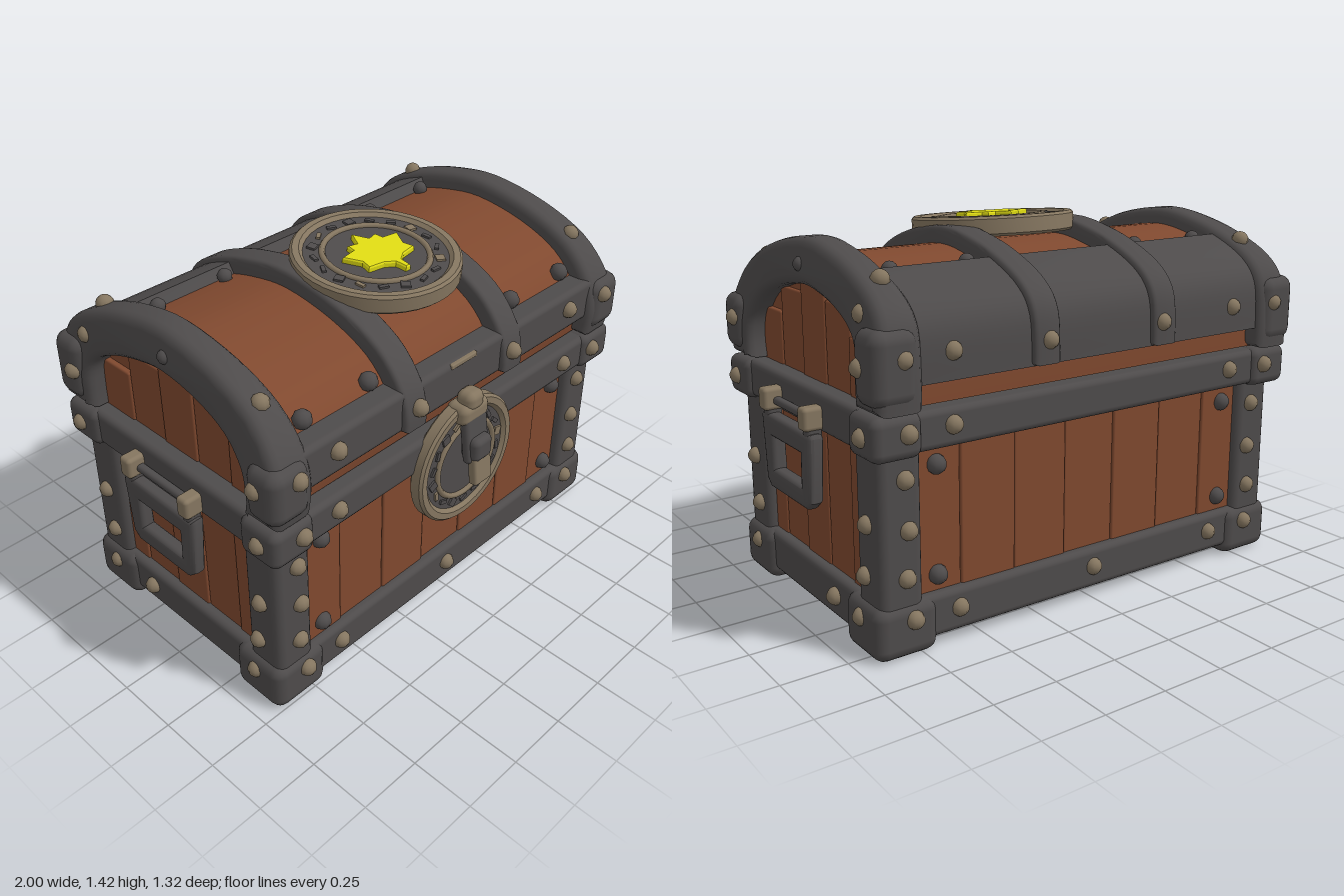
import * as THREE from 'three';
import { toCreasedNormals } from 'three/addons/utils/BufferGeometryUtils.js';
import { RoundedBoxGeometry } from 'three/addons/geometries/RoundedBoxGeometry.js';

const ZC = -0.045; // middle of the body in z
const mat = (name, color) => Object.assign(new THREE.MeshStandardMaterial({ color }), { name });

export function createModel() {
  const iron = mat('iron', 0x4e4b4b);
  const wood = mat('wood', 0x80492f);
  const brass = mat('brass', 0x857660);
  const gold = mat('gold', 0xe0dc14);

  const model = new THREE.Group();
  model.name = 'treasureChest';

  const add = (name, geo, material, x = 0, y = 0, z = 0, parent = model) => {
    const m = new THREE.Mesh(geo, material);
    m.name = name;
    m.position.set(x, y, z);
    parent.add(m);
    return m;
  };
  // Rounded block given by its minimum and maximum corners
  const block = (name, material, a, b, r = 0.025, parent = model) => {
    const s = a.map((v, i) => Math.abs(b[i] - v));
    return add(name, new RoundedBoxGeometry(...s, 2, Math.min(r, Math.min(...s) * 0.45)), material,
      (a[0] + b[0]) / 2, (a[1] + b[1]) / 2, (a[2] + b[2]) / 2, parent);
  };
  // Outline in [z, y] extruded along x, centred on x = 0
  const extrudeX = (pts, width, bevel, hole) => {
    const shape = new THREE.Shape(pts.map(p => new THREE.Vector2(...p)));
    if (hole) shape.holes.push(new THREE.Path(hole.map(p => new THREE.Vector2(...p))));
    const g = new THREE.ExtrudeGeometry(shape, {
      depth: width - 2 * bevel, bevelEnabled: bevel > 0, bevelSegments: 3,
      bevelThickness: bevel, bevelSize: bevel, bevelOffset: -bevel,
    });
    g.translate(0, 0, bevel - width / 2).rotateY(-Math.PI / 2);
    return toCreasedNormals(g, 0.7);
  };

  // Body: vertical planks on four sides and a floor
  const planks = (name, n, from, to, make) => {
    const w = (to - from) / n;
    for (let i = 0; i < n; i++) {
      const inset = [0, 0.006, 0.002, 0.008, 0.003][i % 5];
      make(name, from + i * w, from + (i + 1) * w, inset);
    }
  };
  for (const s of [-1, 1]) {
    planks('bodyPlank', 7, -0.8, 0.8, (n, a, b, k) =>
      block(n, wood, [a, 0.1, ZC + s * 0.43], [b, 0.86, ZC + s * (0.505 - k)], 0.008));
    planks('sidePlank', 5, ZC - 0.46, ZC + 0.46, (n, a, b, k) =>
      block(n, wood, [s * 0.8, 0.1, a], [s * (0.875 - k), 0.86, b], 0.008));
  }
  planks('floorPlank', 6, -0.84, 0.84, (n, a, b, k) =>
    block(n, wood, [a, 0.08 + k, ZC - 0.48], [b, 0.13, ZC + 0.48], 0.008));

  // Iron frame: feet, posts and rails
  for (const s of [-1, 1]) {
    for (const t of [-1, 1]) {
      block('foot', iron, [s * 0.69, 0, ZC + t * 0.305], [s * 0.935, 0.2, ZC + t * 0.55], 0.045);
      block('cornerPost', iron, [s * 0.74, 0.15, ZC + t * 0.365], [s * 0.91, 0.78, ZC + t * 0.535], 0.035);
      block('railCorner', iron, [s * 0.76, 0.72, ZC + t * 0.4], [s * 0.95, 0.875, ZC + t * 0.585], 0.035);
    }
    block('frontBottomRail', iron, [-0.8, 0.04, ZC + s * 0.4], [0.8, 0.2, ZC + s * 0.535]);
    block('sideBottomRail', iron, [s * 0.78, 0.04, ZC - 0.45], [s * 0.912, 0.2, ZC + 0.45]);
    block('frontMiddleRail', iron, [-0.85, 0.73, ZC + s * 0.42], [0.85, 0.87, ZC + s * 0.57]);
    block('sideMiddleRail', iron, [s * 0.78, 0.73, ZC - 0.5], [s * 0.93, 0.875, ZC + 0.5]);
  }

  // Lid: every arched part is an inset of one profile
  const profile = new THREE.SplineCurve([
    [0.53, 0.88], [0.545, 1.0], [0.515, 1.13], [0.4, 1.26], [0.2, 1.345], [-0.05, 1.385],
    [-0.25, 1.36], [-0.42, 1.31], [-0.56, 1.24], [-0.63, 1.15], [-0.645, 1.0], [-0.645, 0.88],
  ].map(p => new THREE.Vector2(...p))).getPoints(44);
  const arch = (d, keep = () => true) => profile.filter(keep).map(p => [
    ZC + (p.x - ZC) * (1 - d / 0.58), 0.88 + (p.y - 0.88) * (1 - d / 0.5)]);
  const archRing = (d0, d1, keep) => [...arch(d0, keep), ...arch(d1, keep).reverse()];

  add('lidWood', extrudeX(arch(0.065), 1.68, 0), wood);
  for (const s of [-1, 1]) {
    planks('lidEndPlank', 5, ZC - 0.45, ZC + 0.45, (n, a, b, k) => {
      const h = z => 1.23 - 0.75 * (z - ZC) ** 2; // hidden behind the end band
      block(n, wood, [s * 0.8, 0.87, a], [s * (0.862 - k), Math.min(h(a), h(b)), b], 0.008);
    });
    // End band, leaning inwards towards the crest
    const band = extrudeX(archRing(0, 0.165), 0.175, 0.035);
    const p = band.attributes.position;
    for (let i = 0; i < p.count; i++) {
      if (p.getX(i) * s > 0) p.setX(i, p.getX(i) - s * 0.05 * Math.max(0, (p.getY(i) - 1) / 0.38));
    }
    add('lidEndBand', toCreasedNormals(band, 0.7), iron, s * 0.85);
    add('lidStrap', extrudeX(archRing(0, 0.09, q => q.y > 0.95), 0.115, 0.018), iron, s * 0.27);
    // Thicker band corners at the lid's lower edge
    block('lidCorner', iron, [s * 0.78, 0.9, 0.4], [s * 0.955, 1.12, 0.555], 0.05);
    block('lidCorner', iron, [s * 0.78, 0.9, -0.5], [s * 0.955, 1.16, -0.655], 0.05);
  }
  block('lidFrontRail', iron, [-0.82, 0.96, 0.4], [0.82, 1.13, 0.522]);
  add('lidBackPlate', extrudeX(archRing(0.02, 0.1, q => q.x < -0.38 && q.y > 0.94), 1.6, 0.012), iron);
  block('lidFrontInlay', brass, [-0.07, 1.105, 0.5], [0.07, 1.125, 0.526], 0.005);

  // Round plate facing +z: brass rim, iron face, inner ring and raised marks
  const ring = (pts) => toCreasedNormals(new THREE.LatheGeometry(
    pts.map(p => new THREE.Vector2(...p)), 40).rotateX(Math.PI / 2), 0.6);
  const roundPlate = (name, R, depth, inner) => {
    const g = new THREE.Group();
    g.name = name;
    model.add(g);
    add('rim', ring([[R - 0.05, -depth], [R - 0.01, -depth], [R, -depth + 0.01], [R, -0.01],
      [R - 0.01, 0], [R - 0.035, 0], [R - 0.05, -0.015]]), brass, 0, 0, 0, g);
    add('face', new THREE.CylinderGeometry(R - 0.04, R - 0.04, depth - 0.02, 40).rotateX(Math.PI / 2),
      iron, 0, 0, -depth / 2 - 0.004, g);
    add('innerRing', new THREE.TorusGeometry(inner, 0.012, 6, 40), brass, 0, 0, -0.012, g);
    for (let i = 0; i < 18; i++) {
      const a = (i + 0.5) / 18 * Math.PI * 2, r = (R - 0.05 + inner) / 2;
      const m = add('raisedMark', new THREE.BoxGeometry(i % 3 ? 0.016 : 0.034, 0.036, 0.012),
        i % 5 ? iron : brass, Math.cos(a) * r, Math.sin(a) * r, -0.012, g);
      m.rotation.z = a + (i % 2 ? 0.3 : -0.4);
    }
    return g;
  };

  // Lid medallion with a golden leaf
  const medallion = roundPlate('lidMedallion', 0.32, 0.075, 0.2);
  medallion.position.set(0, 1.4, 0.085);
  medallion.rotation.x = -Math.PI / 2 + 0.08;
  const half = [[0.03, 0.065], [0.07, 0.075], [0.075, 0.04], [0.14, 0.03], [0.105, -0.035],
    [0.115, -0.075], [0.05, -0.085], [0.012, -0.11], [0.008, -0.155]];
  const leaf = new THREE.Shape([[0, 0.125], ...half, ...half.map(([x, y]) => [-x, y]).reverse()]
    .map(p => new THREE.Vector2(...p)));
  add('leaf', new THREE.ExtrudeGeometry(leaf, { depth: 0.018, bevelThickness: 0.006, bevelSize: 0.004, bevelSegments: 1 }),
    gold, 0, 0, -0.016, medallion);

  // Lock plate and hasp
  const lock = roundPlate('lockPlate', 0.265, 0.06, 0.16);
  lock.position.set(0, 0.695, 0.567);
  const hasp = new THREE.Group();
  hasp.name = 'hasp';
  model.add(hasp);
  block('haspHinge', brass, [-0.075, 0.88, 0.5], [0.075, 0.965, 0.6], 0.03, hasp);
  block('haspKnuckle', brass, [-0.045, 0.93, 0.52], [0.045, 1.01, 0.6], 0.03, hasp);
  block('haspTongue', iron, [-0.062, 0.72, 0.57], [0.062, 0.93, 0.61], 0.02, hasp).rotation.x = -0.15;
  block('haspBoss', iron, [-0.05, 0.73, 0.56], [0.05, 0.83, 0.645], 0.025, hasp);
  block('haspTip', brass, [-0.048, 0.63, 0.605], [0.048, 0.75, 0.645], 0.012, hasp).rotation.x = -0.12;

  // Side handles
  for (const s of [-1, 1]) {
    const handle = extrudeX([[0.155, 0.72], [0.15, 0.735], [-0.235, 0.735], [-0.245, 0.72], [-0.225, 0.48],
      [-0.19, 0.45], [0.1, 0.45], [0.135, 0.48]], 0.06, 0.02,
    [[0.07, 0.65], [-0.16, 0.65], [-0.155, 0.53], [0.065, 0.53]]);
    add('handleLoop', handle, iron, s * 0.958);
    for (const z of [0.117, -0.207]) {
      block('handleMount', brass, [s * 0.9, 0.745, z - 0.029], [s, 0.83, z + 0.029], 0.015);
      block('handleArm', iron, [s * 0.925, 0.69, z - 0.022], [s * 0.985, 0.77, z + 0.022], 0.015);
    }
    block('handlePin', iron, [s * 0.93, 0.765, -0.2], [s * 0.965, 0.795, 0.11], 0.014);
  }

  // Rivets, mirrored left to right
  const ball = new THREE.SphereGeometry(1, 9, 7);
  const rivet = (material, x, y, z, r = 0.034) => {
    for (const s of x ? [-1, 1] : [1]) add('rivet', ball, material, s * x, y, z).scale.setScalar(r);
  };
  for (const t of [-1, 1]) {
    const z = d => ZC + t * d;
    for (const [x, y, d] of [[0.79, 0.14, 0.55], [0.6, 0.13, 0.535], [0, 0.13, 0.535], [0.82, 0.81, 0.585],
      [0.64, 0.81, 0.57], [0.81, 0.64, 0.535], [0.8, 0.46, 0.535], [0.81, 0.29, 0.535],
      [0.26, 1.05, 0.59], [0.64, 1.06, 0.57], [0.84, 1.06, 0.595]]) rivet(brass, x, y, z(d));
    for (const y of [0.26, 0.66]) rivet(iron, 0.67, y, z(0.505), 0.036);
    for (const [x, y, d] of [[0.925, 0.14, 0.42], [0.91, 0.29, 0.43], [0.91, 0.48, 0.45],
      [0.945, 0.8, 0.5], [0.945, 1.03, 0.5]]) rivet(brass, x, y, z(d));
  }
  rivet(brass, 0.915, 0.13, -0.25);
  rivet(brass, 0.9, 1.19, -0.49);
  rivet(brass, 0.83, 1.27, 0.37);
  rivet(brass, 0.82, 1.29, -0.47);
  rivet(iron, 0.89, 1.29, -0.035, 0.028);
  for (const x of [0.7, 0.39]) {
    rivet(iron, x, 1.165, 0.42, 0.036);
    rivet(iron, x, 1.29, -0.32, 0.03);
  }
  return model;
}
